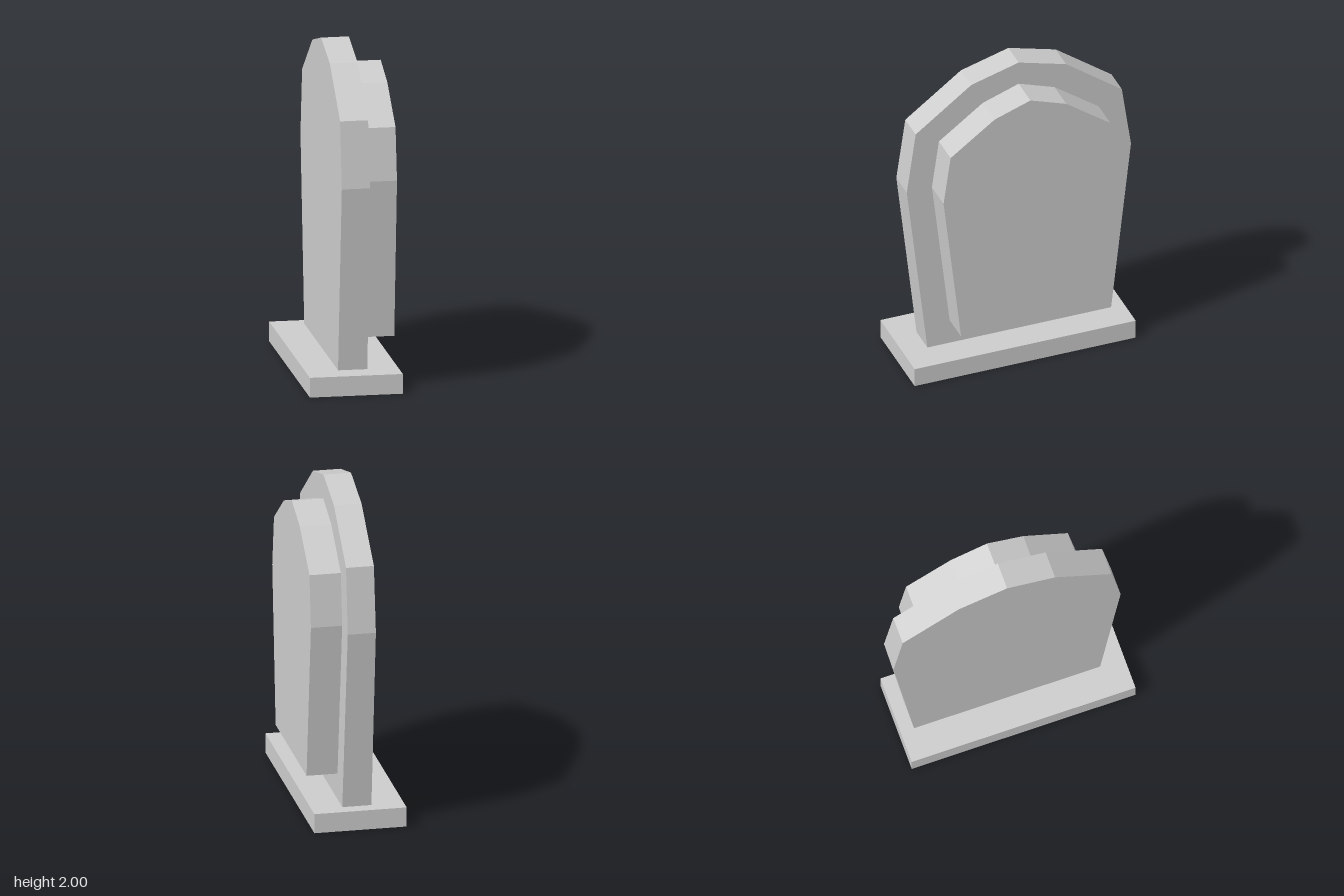
import * as THREE from 'three';

const CENTRE_Z = -0.01;

// Symmetric faceted slab: profile lists [half width, height] from the foot to the peak.
function slab(name, profile, xBack, xFront, lean, material) {
  const right = profile.map(([w, y]) => new THREE.Vector2(w, y));
  const left = profile.slice(0, -1).reverse().map(([w, y]) => new THREE.Vector2(-w, y));
  const geometry = new THREE.ExtrudeGeometry(new THREE.Shape([...right, ...left]), {
    depth: xFront - xBack,
    bevelEnabled: false,
  });
  geometry.rotateY(Math.PI / 2);
  geometry.translate(xBack, 0, CENTRE_Z);

  // The outer face thins slightly towards the top.
  const p = geometry.attributes.position;
  const middle = (xBack + xFront) / 2;
  for (let i = 0; i < p.count; i++) {
    if (p.getX(i) > middle) p.setX(i, p.getX(i) - lean * p.getY(i));
  }
  geometry.computeVertexNormals();

  const mesh = new THREE.Mesh(geometry, material);
  mesh.name = name;
  return mesh;
}

export function createModel() {
  const model = new THREE.Group();
  model.name = 'standingSlab';

  const stone = new THREE.MeshStandardMaterial({ color: 0xcccccc });
  stone.name = 'lightGrey';

  // Low plinth
  const base = new THREE.Mesh(new THREE.BoxGeometry(0.556, 0.12, 1.4), stone);
  base.name = 'base';
  base.position.set(-0.002, 0.06, 0.025);
  model.add(base);

  // Tall upright slab
  model.add(slab('uprightSlab',
    [[0.582, 0.12], [0.71, 1.25], [0.653, 1.65], [0.3, 1.915], [0, 2]],
    -0.085, 0.091, 0.005, stone));

  // Smaller raised panel on the slab's outer face
  model.add(slab('raisedPanel',
    [[0.441, 0.28], [0.551, 1.25], [0.506, 1.565], [0.227, 1.77], [0, 1.85]],
    0.06, 0.277, 0.003, stone));

  return model;
}
